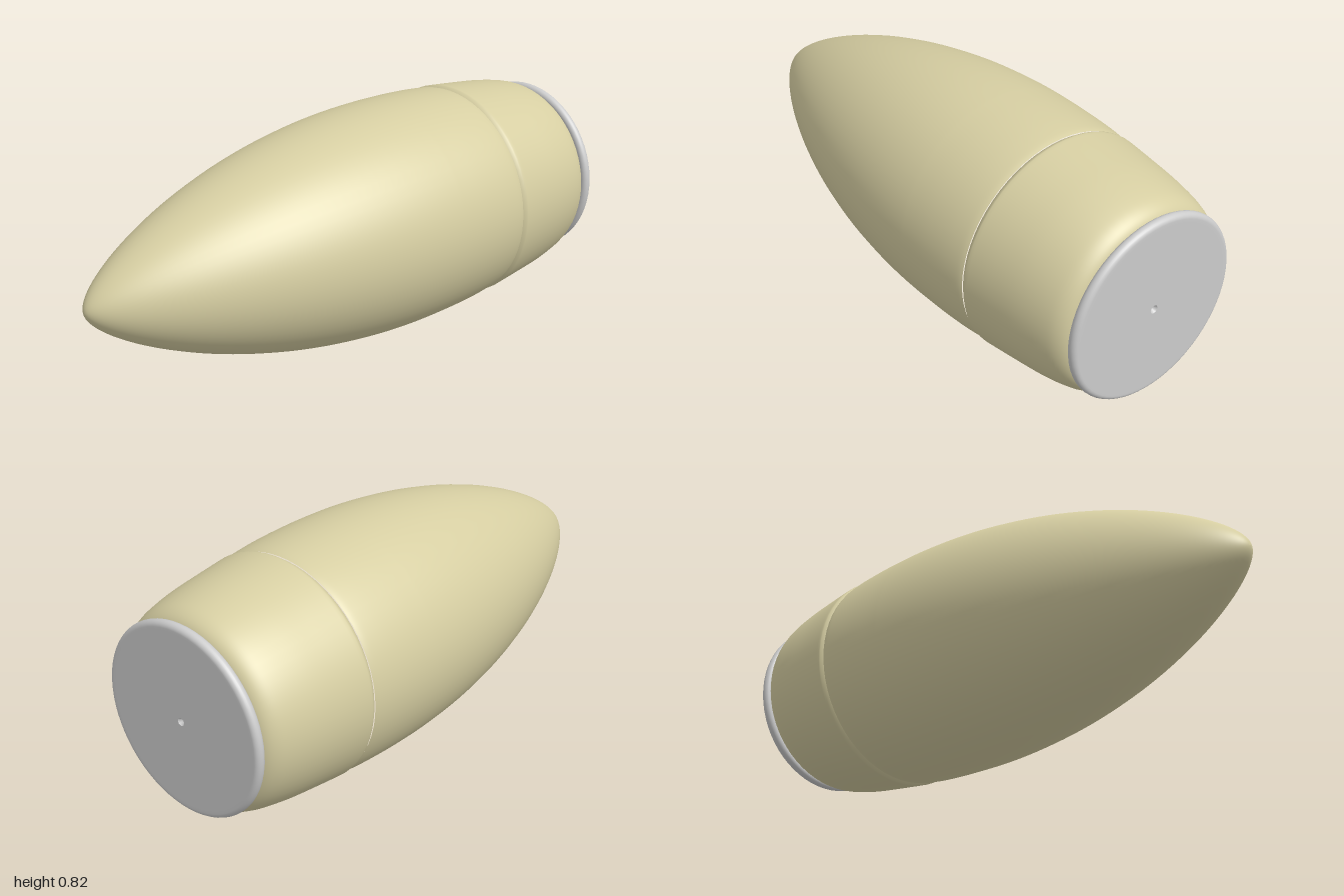
import * as THREE from 'three';

const AXIS_Y = 0.412; // height of the long axis
const RADIUS = 0.412;
const SEGMENTS = 64;

// Revolves [radius, z] points, listed from back to front, around the z axis.
function revolve(name, points, material) {
  const profile = points.map(([r, z]) => new THREE.Vector2(r, z));
  const geometry = new THREE.LatheGeometry(profile, SEGMENTS);
  geometry.rotateX(Math.PI / 2);
  const mesh = new THREE.Mesh(geometry, material);
  mesh.name = name;
  return mesh;
}

// Smooth curve through a few [radius, z] points.
function smooth(points, divisions) {
  const curve = new THREE.SplineCurve(points.map(([r, z]) => new THREE.Vector2(r, z)));
  return curve.getPoints(divisions).map((p) => [p.x, p.y]);
}

// Nose: halfway between an ellipse and a parabola, t = 0 at the widest ring, 1 at the tip.
function noseProfile(steps) {
  const points = [];
  for (let i = 0; i <= steps; i++) {
    const t = Math.sin((i / steps) * Math.PI / 2);
    const r = RADIUS * 0.5 * (Math.sqrt(Math.max(0, 1 - t * t)) + 1 - t * t);
    points.push([i === steps ? 0 : r, -0.25 + 1.25 * t]);
  }
  return points;
}

export function createModel() {
  const shell = new THREE.MeshStandardMaterial({ color: 0xd6cea2 });
  const metal = new THREE.MeshStandardMaterial({ color: 0xcccccc });
  const group = new THREE.Group();
  group.name = 'projectile';

  // Pointed body, tapering slightly towards the groove
  const tail = smooth([[0.392, -0.555], [0.398, -0.53], [0.405, -0.46], [0.41, -0.36], [RADIUS, -0.25]], 20);
  group.add(revolve('body', [...tail, ...noseProfile(40).slice(1)], shell));

  // Rear section with a rounded shoulder at the back and a bevel at the groove
  const rear = smooth([
    [0.26, -0.967], [0.305, -0.958], [0.335, -0.93], [0.354, -0.88],
    [0.372, -0.79], [0.386, -0.68], [0.398, -0.575],
  ], 36);
  group.add(revolve('rearSection', [...rear, [0.397, -0.568], [0.388, -0.555], [0.38, -0.55]], shell));

  // Base plate with a rounded rim
  const rim = [];
  for (let i = 0; i <= 12; i++) {
    const a = -Math.PI / 2 + (i / 12) * Math.PI;
    rim.push([0.309 + 0.018 * Math.cos(a), -0.982 + 0.018 * Math.sin(a)]);
  }
  group.add(revolve('basePlate', [[0.014, -1], [0.3, -1], ...rim, [0.2, -0.964]], metal));

  // Small dimple in the middle of the base plate
  group.add(revolve('baseDimple', [[0, -0.988], [0.007, -0.99], [0.014, -1]], metal));

  group.children.forEach((part) => { part.position.y = AXIS_Y; });
  return group;
}
